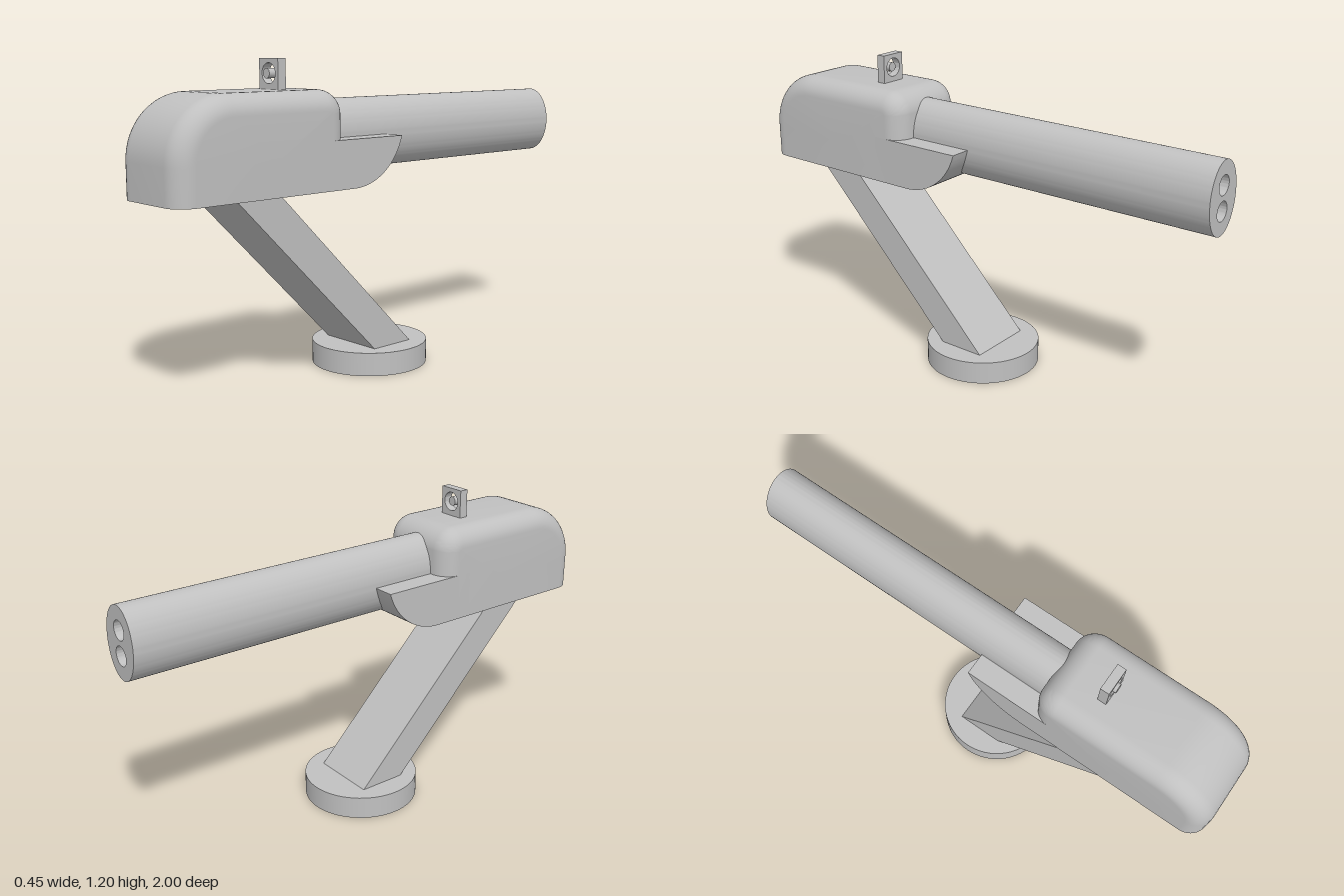
import * as THREE from 'three';
import { toCreasedNormals } from 'three/addons/utils/BufferGeometryUtils.js';

const HALF = 0.18;

// Housing with a rounded front, top and back; its bottom edge stays sharp
function housingGeometry() {
  const fillet = 0.075, steps = 10, layers = [], pos = [], idx = [];
  const outline = (d) => {
    const pts = [[1 - d, 0.73]];
    const arc = (cz, cy, r, from) => {
      for (let i = 0; i <= 16; i++) {
        const a = from + (i / 16) * Math.PI / 2;
        pts.push([cz + (r - d) * Math.cos(a), cy + (r - d) * Math.sin(a)]);
      }
    };
    arc(0.77, 0.86, 0.23, 0);
    arc(0.36, 1.0, 0.09, Math.PI / 2);
    pts.push([0.27 + d, 0.73]);
    return pts;
  };
  for (let i = 0; i <= steps; i++) {
    const a = (i / steps) * Math.PI / 2;
    layers.push([HALF - fillet * (1 - Math.cos(a)), fillet * (1 - Math.sin(a))]);
  }
  layers.push(...layers.map(([x, d]) => [-x, d]).reverse());
  let n = 0;
  for (const [x, d] of layers) {
    const pts = outline(d);
    n = pts.length;
    for (const [z, y] of pts) pos.push(x, y, z);
  }
  const last = (layers.length - 1) * n, centre = layers.length * n;
  pos.push(HALF, 0.85, 0.6, -HALF, 0.85, 0.6);
  for (let i = 0; i < n; i++) {
    const k = (i + 1) % n;
    for (let j = 0; j < layers.length - 1; j++) {
      const a = j * n + i, b = j * n + k;
      idx.push(a, b, a + n, b, b + n, a + n);
    }
    idx.push(centre, k, i, centre + 1, last + i, last + k);
  }
  const g = new THREE.BufferGeometry();
  g.setAttribute('position', new THREE.Float32BufferAttribute(pos, 3));
  g.setIndex(idx);
  return toCreasedNormals(g, 0.5);
}

// Extrudes a side profile, drawn as (z, y), across the width
function sideExtrude(shape, width) {
  const g = new THREE.ExtrudeGeometry(shape, { depth: width, bevelEnabled: false, curveSegments: 24 });
  return toCreasedNormals(g.translate(0, 0, -width / 2).rotateY(-Math.PI / 2), 0.5);
}

function circleHole(x, y, r) {
  const p = new THREE.Path();
  p.absarc(x, y, r, 0, Math.PI * 2, true);
  return p;
}

export function createModel() {
  const model = new THREE.Group();
  const grey = new THREE.MeshStandardMaterial({ color: 0xc0c0c0 });
  grey.name = 'light grey';
  const add = (name, geometry, x = 0, y = 0, z = 0) => {
    const mesh = new THREE.Mesh(geometry, grey);
    mesh.name = name;
    mesh.position.set(x, y, z);
    model.add(mesh);
    return mesh;
  };

  // Round foot and slanted column
  add('base', new THREE.CylinderGeometry(0.227, 0.227, 0.09, 64), 0, 0.045, 0);
  const column = new THREE.Shape([[0.1, 0.09], [-0.09, 0.09], [0.55, 0.73], [0.74, 0.73]]
    .map(([z, y]) => new THREE.Vector2(z, y)));
  add('column', sideExtrude(column, 0.272));

  // Main body and the cradle under the barrel
  add('housing', housingGeometry());
  const cradle = new THREE.Shape();
  cradle.moveTo(0.4, 0.73);
  cradle.lineTo(0.4, 0.91);
  cradle.lineTo(0, 0.91);
  cradle.absarc(0.24, 0.98, 0.25, Math.PI + Math.asin(0.28), Math.PI * 1.5, false);
  add('cradle', sideExtrude(cradle, HALF * 2));

  // Oval barrel with two bores
  const oval = new THREE.Shape();
  oval.absellipse(0, 0, 0.095, 0.135, 0, Math.PI * 2, false);
  for (const s of [-1, 1]) oval.holes.push(circleHole(0, s * 0.046, 0.036));
  const barrel = new THREE.ExtrudeGeometry(oval, { depth: 1.36, bevelEnabled: false, curveSegments: 48 });
  add('barrel', toCreasedNormals(barrel, 0.5), 0, 0.915, -1);

  // Sight plate with a round opening and a centre pin
  const plate = new THREE.Shape();
  plate.moveTo(-0.053, -0.06);
  plate.lineTo(0.053, -0.06);
  plate.lineTo(0.053, 0.053);
  plate.lineTo(-0.053, 0.053);
  plate.holes.push(circleHole(0, 0, 0.037));
  const sight = new THREE.ExtrudeGeometry(plate, { depth: 0.035, bevelEnabled: false, curveSegments: 32 });
  add('sightPlate', toCreasedNormals(sight, 0.5), 0, 1.147, 0.455);
  const pin = new THREE.CylinderGeometry(0.018, 0.018, 0.04, 32).rotateX(Math.PI / 2);
  add('sightPin', pin, 0, 1.147, 0.48);

  return model;
}
